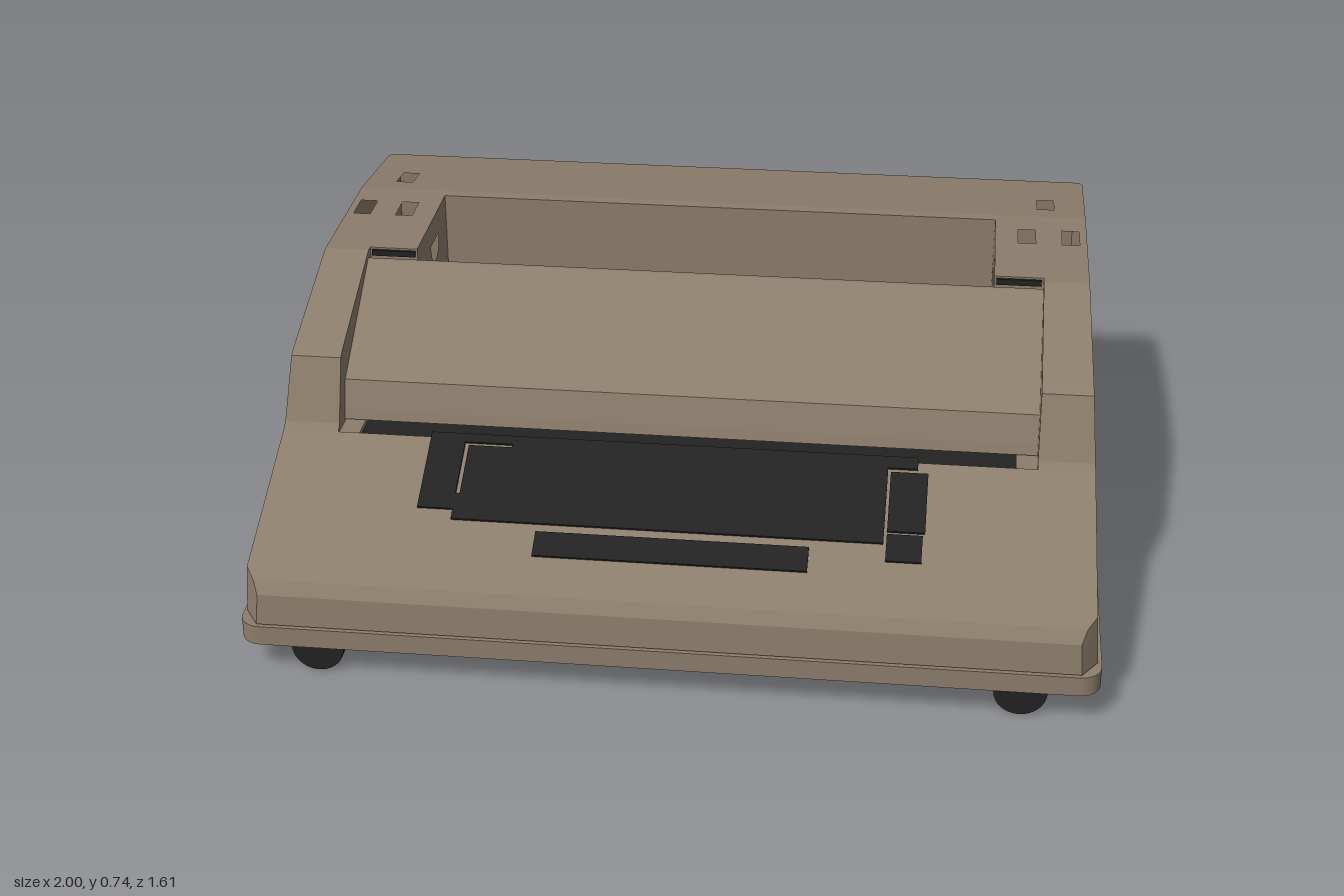
import * as THREE from 'three';
import { mergeGeometries } from 'three/addons/utils/BufferGeometryUtils.js';

const taupe = new THREE.MeshStandardMaterial({ color: 0x8b7d6b, side: THREE.DoubleSide });
taupe.name = 'taupe casing';
const black = new THREE.MeshStandardMaterial({ color: 0x222222 });
black.name = 'black plastic';

// Shell outline from front to back as [z, y]
const seam = z => 0.153 - 0.025 * z;
const P = [
  [0.795, seam(0.795)], [0.79, 0.21], [0.77, 0.24], [0.74, 0.255], [0.385, 0.43], [0.37, 0.445],
  [0.315, 0.595], [0.30, 0.605], [-0.01, 0.735], [-0.03, 0.735], [-0.37, 0.739], [-0.40, 0.74],
  [-0.72, 0.703], [-0.74, 0.70], [-0.76, 0.675], [-0.79, seam(-0.79)],
];

// Half width: tapers upward and is chamfered at the four corners
function halfWidth(z, y) {
  const corner = THREE.MathUtils.clamp((Math.abs(z) - 0.73) / 0.06, 0, 1);
  return 1 - 0.08 * (y - 0.12) - 0.045 * corner;
}

function shapeOf(points) {
  return new THREE.Shape(points.map(p => new THREE.Vector2(p[0], p[1])));
}

// Move the vertices of a flat shape by a rule
function mapped(shape, rule) {
  const g = new THREE.ShapeGeometry(shape, 24);
  const pos = g.attributes.position;
  for (let i = 0; i < pos.count; i++) pos.setXYZ(i, ...rule(pos.getX(i), pos.getY(i)));
  g.computeVertexNormals();
  return g;
}

function slot(x, t, w, h) {
  return new THREE.Path([[x - w, t - h], [x - w, t + h], [x + w, t + h], [x + w, t - h]]
    .map(p => new THREE.Vector2(...p)));
}

// Panel between two outline points; inner > 0 leaves the middle open
function panels(a, b, inner = 0, slots = []) {
  const wa = halfWidth(...a), wb = halfWidth(...b);
  const outlines = inner
    ? [1, -1].map(s => [[s * inner, 0], [s * wa, 0], [s * wb, 1], [s * inner, 1]])
    : [[[-wa, 0], [wa, 0], [wb, 1], [-wb, 1]]];
  return outlines.map((o, k) => {
    const shape = shapeOf(o);
    for (const [x, z] of slots) {
      const t = (z - a[0]) / (b[0] - a[0]), h = 0.042 / Math.abs(b[0] - a[0]);
      for (const s of inner ? [k ? -1 : 1] : [1, -1]) shape.holes.push(slot(s * x, t, 0.022, h));
    }
    return mapped(shape, (x, t) => [x, a[1] + (b[1] - a[1]) * t, a[0] + (b[0] - a[0]) * t]);
  });
}

// Wall in the z-y plane, at the shell side or at a fixed x
function wall(side, outline, x = null, hole = false) {
  const shape = shapeOf(outline.map(([z, y]) => [-side * z, y]));
  if (hole) {
    const a = 0.224;
    shape.holes.push(new THREE.Path().absarc(side * 0.225, 0.665, 0.045, Math.PI - a, 2 * Math.PI + a, false));
  }
  return mapped(shape, (u, y) => [side * (x ?? halfWidth(-side * u, y)), y, -side * u]);
}

function rect(x0, x1, y0, y1, rule) {
  return mapped(shapeOf([[x0, y0], [x1, y0], [x1, y1], [x0, y1]]), rule);
}

export function createModel() {
  const group = new THREE.Group();
  const add = (name, geometry, material, parent = group) => {
    const m = new THREE.Mesh(geometry, material);
    m.name = name;
    parent.add(m);
    return m;
  };
  const box = (name, x0, x1, y0, y1, z0, z1, material) => {
    const m = add(name, new THREE.BoxGeometry(x1 - x0, y1 - y0, z1 - z0), material);
    m.position.set((x0 + x1) / 2, (y0 + y1) / 2, (z0 + z1) / 2);
    return m;
  };

  // Base tray with rounded corners and a rising top edge
  const r = 0.05, tray = new THREE.Shape();
  [[1 - r, 0.8 - r, 0], [r - 1, 0.8 - r, 1], [r - 1, r - 0.8, 2], [1 - r, r - 0.8, 3]].forEach(([x, y, q]) =>
    tray.absarc(x, y, r, q * Math.PI / 2, (q + 1) * Math.PI / 2, false));
  const base = new THREE.ExtrudeGeometry(tray, { depth: 1, bevelEnabled: false, curveSegments: 6 });
  base.rotateX(-Math.PI / 2);
  const bp = base.attributes.position;
  for (let i = 0; i < bp.count; i++) bp.setY(i, bp.getY(i) > 0.5 ? seam(bp.getZ(i)) - 0.004 : 0.08);
  base.computeVertexNormals();
  add('baseTray', base, taupe);

  // Outer skin, open in the middle for the carriage and front cover
  const skin = [];
  for (let i = 0; i < P.length - 1; i++) {
    const inner = i >= 4 && i <= 8 ? 0.84 : i === 9 ? 0.72 : 0;
    const slots = i === 9 ? [[0.91, -0.275], [0.80, -0.275]] : i === 11 ? [[0.85, -0.51]] : [];
    skin.push(...panels(P[i], P[i + 1], inner, slots));
  }
  add('shellSkin', mergeGeometries(skin), taupe);

  // Side walls with the chamfered corner strips
  for (const s of [1, -1]) {
    const front = [0.74, seam(0.74)], back = [-0.72, seam(-0.72)];
    add(s > 0 ? 'leftWall' : 'rightWall', mergeGeometries([
      wall(s, [front, ...P.slice(3, 13), back], null, true),
      wall(s, [front, ...P.slice(0, 4)]),
      wall(s, [...P.slice(12), back]),
    ]), taupe);

    // Inner faces of the cheeks
    add(s > 0 ? 'leftCheekInner' : 'rightCheekInner', mergeGeometries([
      wall(-s, [[0.385, 0.40], ...P.slice(4, 10), [-0.03, 0.40]], -0.84),
      wall(-s, [[-0.03, 0.45], P[9], P[10], [-0.37, 0.45]], -0.72, true),
      rect(s * 0.72, s * 0.84, 0.45, 0.735, (x, y) => [x, y, -0.03]),
    ]), taupe);
    box('cheekGap', s > 0 ? 0.725 : -0.835, s > 0 ? 0.835 : -0.725, 0.715, 0.73, -0.03, -0.023, black);
  }

  // Carriage well
  add('carriageWell', mergeGeometries([
    rect(-0.72, 0.72, 0.45, 0.739, (x, y) => [x, y, -0.37]),
    rect(-0.84, 0.84, -0.30, 0.37, (x, v) => [x, 0.45, -v]),
  ]), taupe);

  // Sloping front cover
  const cover = new THREE.ExtrudeGeometry(shapeOf([
    [0.03, 0.69], [0.01, 0.715], [0, 0.715], [-0.29, 0.525], [-0.312, 0.455], [-0.318, 0.43],
    [-0.30, 0.43], [-0.275, 0.515], [0, 0.695], [0.02, 0.68],
  ]), { depth: 1.68, bevelEnabled: false });
  cover.translate(0, 0, -0.84).rotateY(Math.PI / 2);
  add('frontCover', cover, taupe);

  // Dark trough between cover and keyboard deck
  box('trough', -0.79, 0.79, 0.395, 0.415, 0.27, 0.38, black);
  for (const s of [1, -1]) box('troughCorner', s * 0.815 - 0.025, s * 0.815 + 0.025, 0.40, 0.425, 0.27, 0.38, taupe);

  // Key blocks lying on the sloping deck: [x0, x1, z0, z1]
  const slope = 0.493, keyboard = new THREE.Group();
  keyboard.name = 'keyboard';
  group.add(keyboard);
  for (const [name, x0, x1, z0, z1] of [
    ['leftKeys', -0.61, -0.525, 0.375, 0.57],
    ['leftKeysTop', -0.525, -0.41, 0.375, 0.397],
    ['leftKeysInner', -0.515, -0.41, 0.405, 0.595],
    ['leftKeysFoot', -0.525, -0.515, 0.53, 0.595],
    ['mainKeys', -0.41, 0.49, 0.375, 0.595],
    ['rightKeysTop', 0.49, 0.56, 0.375, 0.405],
    ['rightKeys', 0.497, 0.585, 0.415, 0.565],
    ['rightLowerKey', 0.497, 0.58, 0.572, 0.638],
    ['spaceBar', -0.32, 0.32, 0.615, 0.675],
  ]) {
    const z = (z0 + z1) / 2;
    const m = add(name, new THREE.BoxGeometry(x1 - x0, 0.012, (z1 - z0) * Math.hypot(1, slope)), black, keyboard);
    m.position.set((x0 + x1) / 2, 0.255 + (0.74 - z) * slope, z);
    m.rotation.x = Math.atan(slope);
  }

  // Rear vent with ridges
  box('ventPlate', -0.22, 0.22, 0.085, 0.265, -0.802, -0.78, black);
  for (let i = 0; i < 5; i++) box('ventRidge', -0.23, 0.23, 0.185 + i * 0.018, 0.193 + i * 0.018, -0.806, -0.78, black);

  // Disc feet
  for (const x of [-0.82, 0.82]) for (const z of [0.755, -0.57]) {
    const foot = add('foot', new THREE.CylinderGeometry(0.062, 0.062, 0.03, 28), black);
    foot.rotation.x = Math.PI / 2;
    foot.position.set(x, 0.062, z);
  }
  return group;
}
